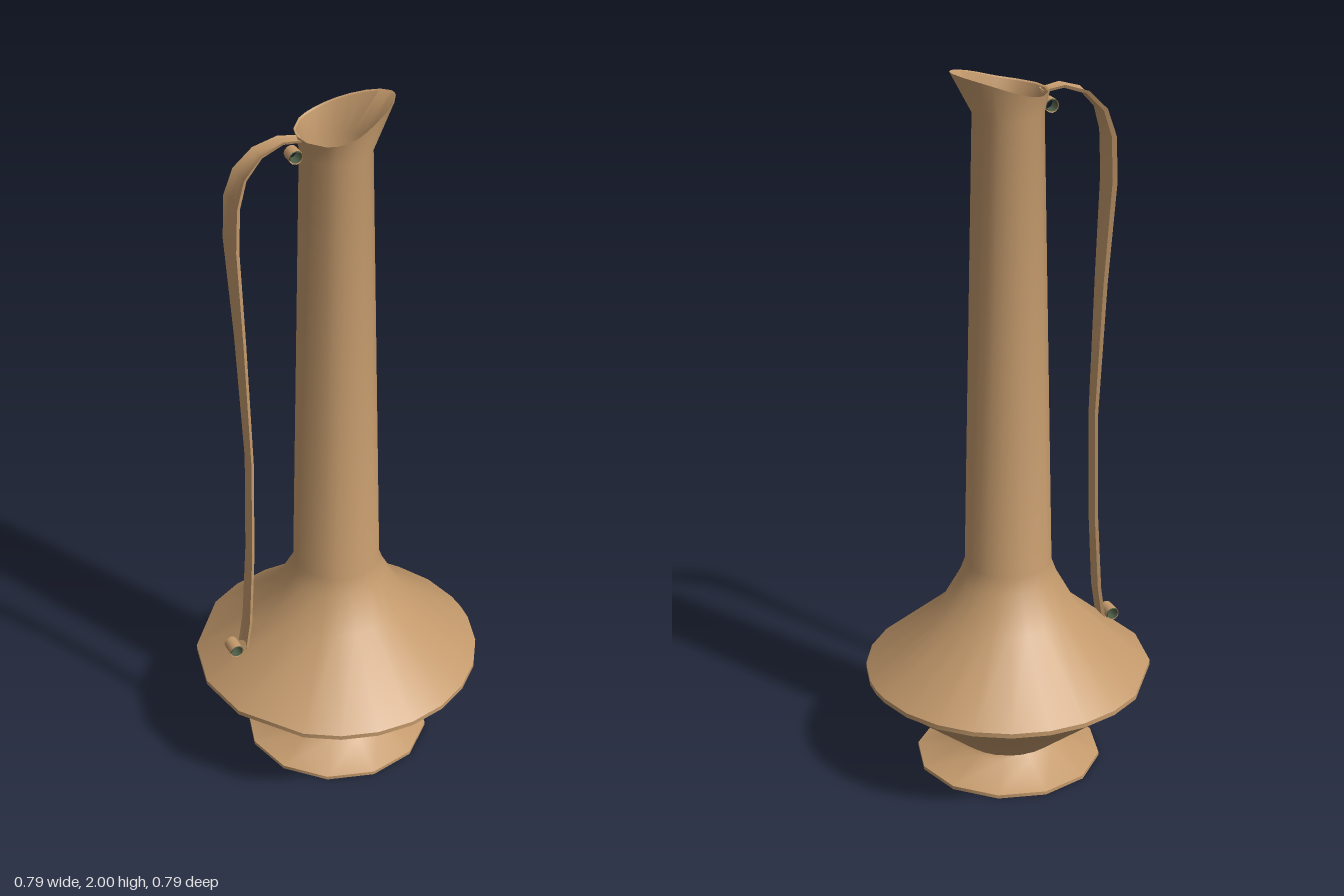
import * as THREE from 'three';
import { toCreasedNormals } from 'three/addons/utils/BufferGeometryUtils.js';

const clay = new THREE.MeshStandardMaterial({ color: 0xc49a6c, side: THREE.DoubleSide });
clay.name = 'tan clay';
const green = new THREE.MeshStandardMaterial({ color: 0x4f6048, side: THREE.DoubleSide });
green.name = 'dark green lining';

const rad = THREE.MathUtils.degToRad;
const evenAngles = n => Array.from({ length: n }, (_, i) => (i / n) * Math.PI * 2);
// Slightly uneven facets: broader on the handle side
const half = [7.5, 22.5, 37.5, 52.5, 67.5, 82.5, 97.5, 112.5, 127.5, 157];
const bodyAngles = [0, ...half, 180, ...half.map(a => 360 - a).reverse()].map(rad);

// Skin closed rings of points into one surface
function loft(rings, crease = 0.7) {
  const n = rings[0].length, pos = [], index = [];
  rings.forEach(r => r.forEach(p => pos.push(p.x, p.y, p.z)));
  for (let i = 0; i < rings.length - 1; i++) {
    for (let j = 0; j < n; j++) {
      const k = (j + 1) % n;
      const a = i * n + j, b = a + n, c = i * n + k, d = c + n;
      index.push(a, b, c, c, b, d);
    }
  }
  const g = new THREE.BufferGeometry();
  g.setAttribute('position', new THREE.Float32BufferAttribute(pos, 3));
  g.setIndex(index);
  return toCreasedNormals(g, crease);
}

const ring = (r, y, angles) =>
  angles.map(a => new THREE.Vector3(r * Math.cos(a), y, r * Math.sin(a)));
const turned = (profile, angles) => profile.map(([r, y]) => ring(r, y, angles));

// Lip ring drawn out into a raised pouring point at +x
const spoutRing = (r, drop) => bodyAngles.map(a => {
  const c = Math.cos(a), pull = Math.max(0, c) ** 3;
  return new THREE.Vector3(
    r * c + 0.052 * pull,
    1.935 - drop + 0.065 * ((1 + c) / 2) ** 2.2,
    r * Math.sin(a));
});

export function createModel() {
  const model = new THREE.Group();
  const add = (name, geometry, material = clay) => {
    const mesh = new THREE.Mesh(geometry, material);
    mesh.name = name;
    model.add(mesh);
    return mesh;
  };

  // Flared foot with a flat underside
  add('foot', loft(turned(
    [[0, 0], [0.257, 0], [0.257, 0.01], [0.15, 0.055], [0.138, 0.07]], evenAngles(12)), 0.6));

  // Lower bowl, lip, shoulder, long neck and spout, returning down the inside
  add('body', loft([
    ...turned([[0.138, 0.065], [0.15, 0.075], [0.385, 0.27], [0.396, 0.275], [0.396, 0.288],
      [0.19, 0.465], [0.135, 0.565], [0.119, 0.61], [0.093, 1.88]], bodyAngles),
    spoutRing(0.106, 0),
    spoutRing(0.101, 0.003),
    ...turned([[0.086, 1.88], [0.07, 0.6]], bodyAngles),
  ]));

  // Dark collar at the bottom of the neck, and the floor beneath it
  add('innerCollar', loft(turned([[0.072, 0.6], [0.04, 0.5]], evenAngles(8))), green);
  add('innerFloor', loft(turned([[0.13, 0.08], [0, 0.08]], evenAngles(12))));

  // Dished strap handle: x, y, half width
  const stations = [
    [-0.095, 1.925, 0.016], [-0.15, 1.932, 0.02], [-0.21, 1.91, 0.028], [-0.255, 1.86, 0.037],
    [-0.275, 1.79, 0.044], [-0.28, 1.67, 0.044], [-0.265, 1.38, 0.032], [-0.25, 1.0, 0.023],
    [-0.254, 0.7, 0.024], [-0.266, 0.47, 0.026], [-0.28, 0.375, 0.026],
  ];
  const handleRings = stations.map(([x, y, w], i) => {
    const p = stations[Math.max(0, i - 1)], q = stations[Math.min(stations.length - 1, i + 1)];
    const t = new THREE.Vector2(q[0] - p[0], q[1] - p[1]).normalize();
    const at = (side, off) => new THREE.Vector3(x + t.y * off, y - t.x * off, side * w);
    const edge = w * 0.28;
    return [at(-1, edge), at(-0.5, edge * 0.25), at(0, 0), at(0.5, edge * 0.25), at(1, edge),
      at(0.85, edge * 0.5 - 0.005), at(0, -0.006), at(-0.85, edge * 0.5 - 0.005)];
  });
  add('handle', loft(handleRings, 0.6));

  // Rolled scroll at each end of the handle
  for (const [name, x, y, w] of [['upperScroll', -0.116, 1.886, 0.034],
    ['lowerScroll', -0.312, 0.381, 0.046]]) {
    const outer = new THREE.CylinderGeometry(0.019, 0.019, w, 12, 1, true).rotateX(Math.PI / 2);
    const inner = new THREE.CylinderGeometry(0.016, 0.016, w, 12, 1, true).rotateX(Math.PI / 2);
    add(name, outer).position.set(x, y, 0);
    add(name + 'Lining', inner, green).position.set(x, y, 0);
  }
  return model;
}
